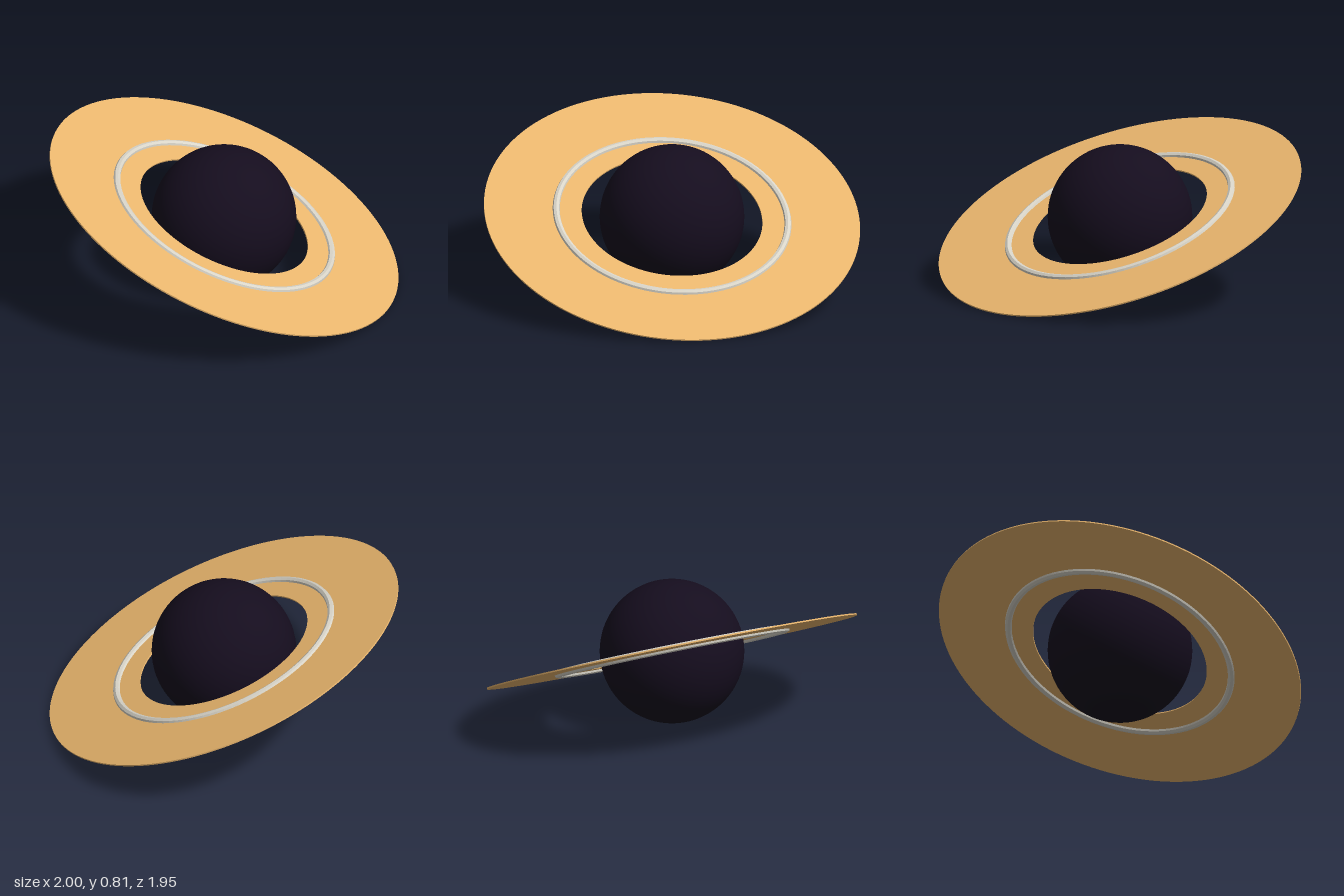
import * as THREE from 'three';

const CENTER_Y = 0.404;

function part(name, geometry, color) {
  const mesh = new THREE.Mesh(geometry, new THREE.MeshStandardMaterial({ color }));
  mesh.name = name;
  return mesh;
}

// Flat annulus with a thin rim, lying in the xz plane
function annulus(outer, inner, depth) {
  const shape = new THREE.Shape().absarc(0, 0, outer, 0, Math.PI * 2, false);
  shape.holes.push(new THREE.Path().absarc(0, 0, inner, 0, Math.PI * 2, true));
  return new THREE.ExtrudeGeometry(shape, { depth, bevelEnabled: false, curveSegments: 64 })
    .translate(0, 0, -depth / 2)
    .rotateX(-Math.PI / 2);
}

export function createModel() {
  const model = new THREE.Group();
  model.name = 'ringedPlanet';

  // Dark globe
  const planet = part('planet', new THREE.SphereGeometry(0.393, 64, 40), 0x150d1e);
  planet.position.y = CENTER_Y + 0.003;
  model.add(planet);

  // Both rings share one tilted plane
  const rings = new THREE.Group();
  rings.name = 'rings';
  rings.position.y = CENTER_Y;
  const normal = new THREE.Vector3(0.228, 0.921, 0.315).normalize();
  rings.quaternion.setFromUnitVectors(new THREE.Vector3(0, 1, 0), normal);

  // Broad disc
  rings.add(part('discRing', annulus(1.026, 0.493, 0.008), 0xebb76e));

  // Raised eight-sided band running around the disc
  const band = part('bandRing',
    new THREE.TorusGeometry(0.632, 0.021, 8, 96).rotateX(Math.PI / 2), 0xd8d4c8);
  band.material.flatShading = true;
  rings.add(band);

  model.add(rings);
  return model;
}
